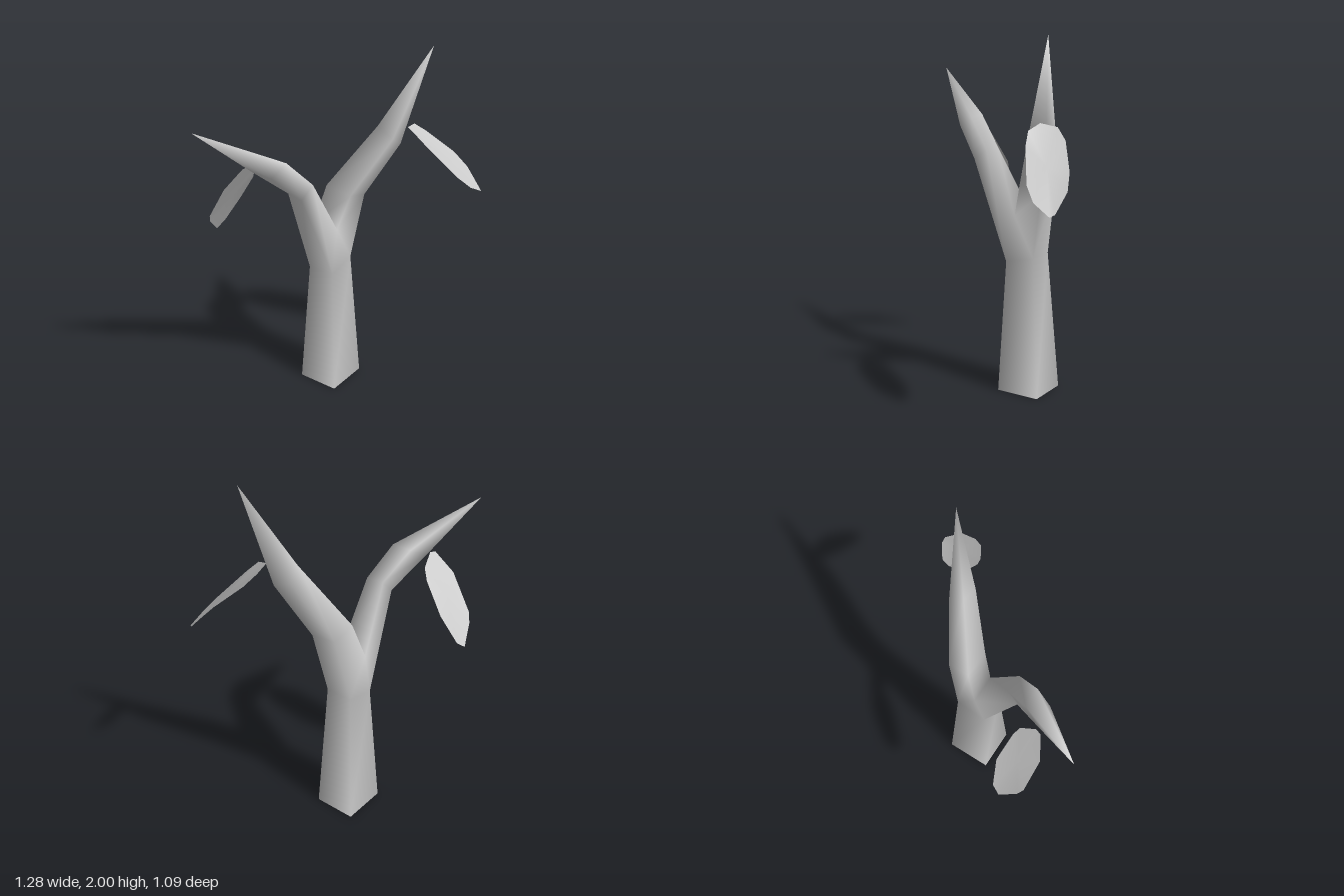
import * as THREE from 'three';

const material = () => new THREE.MeshStandardMaterial({ color: 0xcccccc, side: THREE.DoubleSide });

function surface(name, points, index) {
  const geometry = new THREE.BufferGeometry();
  geometry.setAttribute('position', new THREE.Float32BufferAttribute(points.flat(), 3));
  geometry.setIndex(index);
  geometry.computeVertexNormals();
  const mesh = new THREE.Mesh(geometry, material());
  mesh.name = name;
  return mesh;
}

// Four-sided trunk that splits into two pointed branches, as one smooth skin
function createForkedTrunk() {
  const points = [], index = [];
  const add = (...corners) => corners.map((p) => points.push(p) - 1);
  // Rings run front-left, front-right, back-right, back-left
  const join = (a, b) => {
    for (let i = 0; i < 4; i++) {
      const j = (i + 1) % 4;
      index.push(a[i], a[j], b[j], a[i], b[j], b[i]);
    }
  };
  const branch = (start, rings, tip) => {
    let last = start;
    for (const ring of rings) {
      const next = add(...ring);
      join(last, next);
      last = next;
    }
    const [end] = add(tip);
    for (let i = 0; i < 4; i++) index.push(last[i], last[(i + 1) % 4], end);
  };

  // Trunk
  const base = add([-0.02, 0, 0.015], [0.23, 0, 0.015], [0.23, 0, -0.22], [-0.02, 0, -0.22]);
  const neck = add([0.01, 0.74, -0.02], [0.18, 0.78, -0.02], [0.18, 0.78, -0.175], [0.01, 0.74, -0.175]);
  join(base, neck);

  // Crotch between the branches
  const [front, back] = add([0.06, 1, -0.025], [0.06, 1, -0.18]);
  index.push(neck[0], neck[1], front, neck[2], neck[3], back);

  // Branch on the -x side, leaning back
  branch([neck[0], front, back, neck[3]], [
    [[-0.215, 1.28, -0.05], [-0.13, 1.34, -0.04], [-0.13, 1.35, -0.145], [-0.19, 1.28, -0.157]],
    [[-0.36, 1.44, -0.125], [-0.27, 1.5, -0.1], [-0.27, 1.5, -0.21], [-0.37, 1.45, -0.25]],
  ], [-0.64, 1.72, -0.39]);

  // Branch on the +x side, leaning forward
  branch([front, neck[1], neck[2], back], [
    [[0.12, 1.19, 0.02], [0.25, 1.15, 0.02], [0.25, 1.17, -0.13], [0.12, 1.21, -0.14]],
    [[0.275, 1.51, 0.18], [0.365, 1.45, 0.17], [0.36, 1.5, 0.065], [0.28, 1.56, 0.08]],
  ], [0.45, 2, 0.3]);

  return surface('forkedTrunk', points, index);
}

// Flat closing face under the trunk
function createBase() {
  const mesh = new THREE.Mesh(new THREE.PlaneGeometry(0.25, 0.235).rotateX(Math.PI / 2), material());
  mesh.position.set(0.105, 0, -0.1025);
  mesh.name = 'trunkBase';
  return mesh;
}

// Thin leaf: a fan from the middle to its outline
function createLeaf(name, outline) {
  const n = outline.length;
  const middle = [0, 1, 2].map((k) => outline.reduce((sum, p) => sum + p[k], 0) / n);
  const index = outline.flatMap((_, i) => [n, (i + 1) % n, i]);
  return surface(name, [...outline, middle], index);
}

export function createModel() {
  const model = new THREE.Group();
  model.name = 'sapling';
  model.add(
    createForkedTrunk(),
    createBase(),
    createLeaf('leftLeaf', [
      [0.36, 1.56, 0.217], [0.45, 1.545, 0.2], [0.515, 1.49, 0.235], [0.61, 1.365, 0.36],
      [0.64, 1.285, 0.43], [0.625, 1.19, 0.52], [0.608, 1.18, 0.543], [0.512, 1.235, 0.53],
      [0.447, 1.305, 0.485], [0.36, 1.465, 0.355], [0.337, 1.53, 0.293],
    ]),
    createLeaf('rightLeaf', [
      [-0.416, 1.1, -0.51], [-0.327, 1.01, -0.546], [-0.28, 1.05, -0.526], [-0.245, 1.2, -0.437],
      [-0.27, 1.36, -0.324], [-0.29, 1.42, -0.293], [-0.368, 1.47, -0.27], [-0.4, 1.465, -0.28],
      [-0.454, 1.345, -0.365], [-0.44, 1.15, -0.488],
    ].reverse()),
  );
  return model;
}
